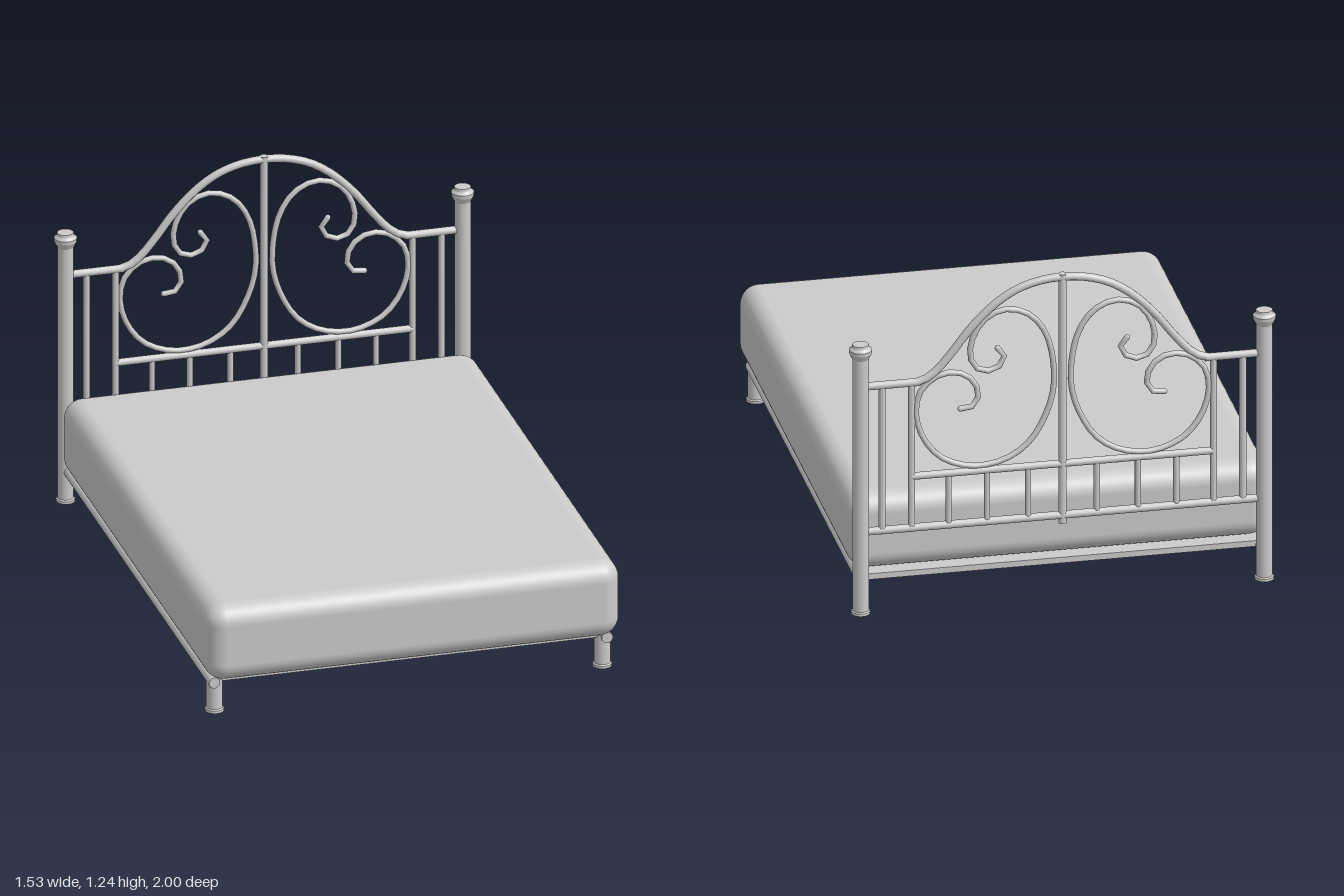
import * as THREE from 'three';
import { RoundedBoxGeometry } from 'three/addons/geometries/RoundedBoxGeometry.js';

const material = new THREE.MeshStandardMaterial({ color: 0xcccccc });
const HEAD_Z = -0.957;

export function createModel() {
  const bed = new THREE.Group();
  bed.name = 'bed';

  const add = (name, geometry, x = 0, y = 0, z = 0) => {
    const mesh = new THREE.Mesh(geometry, material);
    mesh.name = name;
    mesh.position.set(x, y, z);
    bed.add(mesh);
    return mesh;
  };

  // Straight round bar between two points
  const bar = (name, a, b, radius) => {
    const from = new THREE.Vector3(...a), to = new THREE.Vector3(...b);
    const dir = to.clone().sub(from);
    const mesh = add(name, new THREE.CylinderGeometry(radius, radius, dir.length(), 14));
    mesh.position.copy(from).add(to).multiplyScalar(0.5);
    mesh.quaternion.setFromUnitVectors(new THREE.Vector3(0, 1, 0), dir.normalize());
  };

  // Bent tube through x, y points in the headboard plane
  const bentTube = (name, points, radius, segments) => {
    const curve = new THREE.CatmullRomCurve3(points.map(([x, y]) => new THREE.Vector3(x, y, 0)));
    add(name, new THREE.TubeGeometry(curve, segments, radius, 10), 0, 0, HEAD_Z);
    for (const end of [points[0], points[points.length - 1]]) {
      add(name + 'End', new THREE.SphereGeometry(radius, 10, 6), end[0], end[1], HEAD_Z);
    }
  };

  // Turned part; repeated points keep the rims crisp
  const turned = (name, profile, x, z) => {
    const points = profile.flatMap(([r, y]) => [new THREE.Vector2(r, y), new THREE.Vector2(r, y)]);
    add(name, new THREE.LatheGeometry(points, 20), x, 0, z);
  };

  // Mattress
  add('mattress', new RoundedBoxGeometry(1.506, 0.289, 1.925, 5, 0.07), 0, 0.2805, 0.0375);

  const foot = [[0, 0], [0.034, 0], [0.034, 0.01], [0.029, 0.014]];
  const postProfile = [...foot, [0.029, 0.975], [0.04, 0.997], [0.041, 1.01],
    [0.031, 1.02], [0.029, 1.03], [0, 1.03]];
  const legProfile = [...foot, [0.029, 0.125], [0, 0.125]];

  const scroll = [[0.365, 0.75], [0.32, 0.757], [0.3, 0.8], [0.325, 0.86], [0.38, 0.891],
    [0.45, 0.882], [0.507, 0.83], [0.524, 0.75], [0.5, 0.655], [0.44, 0.575], [0.36, 0.535],
    [0.29, 0.526], [0.2, 0.545], [0.12, 0.6], [0.06, 0.7], [0.032, 0.8], [0.033, 0.9],
    [0.055, 1.0], [0.1, 1.073], [0.16, 1.11], [0.22, 1.114], [0.28, 1.083], [0.32, 1.02],
    [0.33, 0.95], [0.31, 0.903], [0.268, 0.886], [0.225, 0.902], [0.208, 0.94], [0.232, 0.97]];

  for (const s of [-1, 1]) {
    // Posts, front legs and side rails
    turned('headPost', postProfile, s * 0.722, HEAD_Z);
    turned('frontLeg', legProfile, s * 0.705, 0.902);
    bar('sideRail', [s * 0.714, 0.119, 0.937], [s * 0.714, 0.119, HEAD_Z], 0.0205);

    // Headboard uprights, short spindles and scroll
    bar('outerSpindle', [s * 0.645, 0.31, HEAD_Z], [s * 0.645, 0.867, HEAD_Z], 0.0125);
    bar('innerUpright', [s * 0.54, 0.31, HEAD_Z], [s * 0.54, 0.867, HEAD_Z], 0.0125);
    for (const x of [0.123, 0.27, 0.407]) {
      bar('shortSpindle', [s * x, 0.31, HEAD_Z], [s * x, 0.507, HEAD_Z], 0.011);
    }
    bar('shoulderRail', [s * 0.715, 0.866, HEAD_Z], [s * 0.51, 0.866, HEAD_Z], 0.0145);
    bentTube('scroll', scroll.map(([x, y]) => [s * x, y]), 0.0105, 50);
  }

  // Arched top rail
  const half = [[0.52, 0.867], [0.495, 0.873], [0.455, 0.9], [0.4, 0.962], [0.33, 1.053],
    [0.25, 1.133], [0.17, 1.186], [0.085, 1.214]];
  const arch = [...half.map(([x, y]) => [-x, y]), [0, 1.222], ...half.slice().reverse()];
  bentTube('archRail', arch, 0.0145, 36);

  // Headboard centre post and cross rails
  bar('centrePost', [0, 0.28, HEAD_Z], [0, 1.235, HEAD_Z], 0.0145);
  bar('middleRail', [-0.54, 0.507, HEAD_Z], [0.54, 0.507, HEAD_Z], 0.0135);
  bar('lowerRail', [-0.72, 0.31, HEAD_Z], [0.72, 0.31, HEAD_Z], 0.0145);

  // Cross bars under the platform
  for (const z of [0.72, 0.18, -0.38]) {
    bar('crossBar', [-0.714, 0.121, z], [0.714, 0.121, z], 0.015);
  }

  // Platform boards with narrow seams
  const seams = [0.92, 0.45, -0.1, -0.66, -0.94];
  for (let i = 0; i < 4; i++) {
    const depth = seams[i] - seams[i + 1] - 0.004;
    add('platformBoard', new THREE.BoxGeometry(1.42, 0.022, depth), 0, 0.127, (seams[i] + seams[i + 1]) / 2);
  }

  return bed;
}
